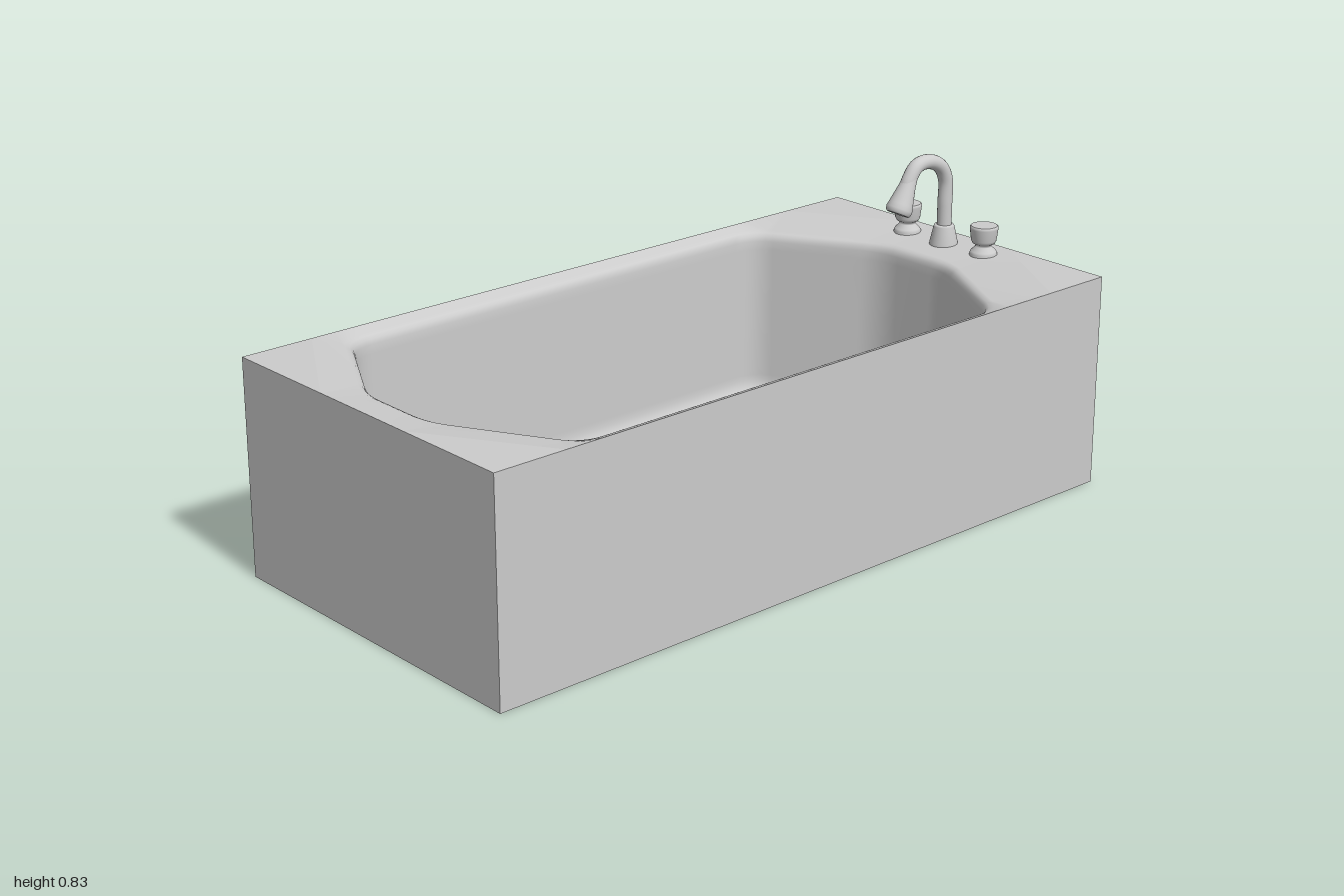
import * as THREE from 'three';

const HEIGHT = 0.575, HALF_W = 0.487, HALF_L = 1;
const CUT_X = 0.16, CUT_Z = 0.8; // where the flat corner pieces meet the border
const mat = new THREE.MeshStandardMaterial({ color: 0xcccccc, roughness: 0.6 });
const thinMat = new THREE.MeshStandardMaterial({ color: 0xcccccc, roughness: 0.6, side: THREE.DoubleSide });

function add(parent, name, geometry, material = mat) {
  const mesh = new THREE.Mesh(geometry, material);
  mesh.name = name;
  parent.add(mesh);
  return mesh;
}

// Rounded octagon; each point also knows its partner on the outer border
function octagon(half) {
  const corners = [...half, ...half.slice().reverse().map(([x, z]) => [-x, z])]
    .map(([x, z]) => new THREE.Vector2(x, z));
  const onSide = (c) => Math.abs(c.x) > 0.3;
  const pts = [];
  corners.forEach((c, i) => {
    const prev = corners[(i + 7) % 8], next = corners[(i + 1) % 8];
    const toward = (other) => c.clone().add(other.clone().sub(c).setLength(0.06));
    const slantAt = onSide(c) === onSide(next) ? 0 : 6; // end of the curve on the slanted edge
    new THREE.QuadraticBezierCurve(toward(prev), c, toward(next)).getPoints(6).forEach((p, k) => {
      const slant = k === slantAt;
      pts.push({
        x: p.x, z: p.y,
        borderX: onSide(c) ? Math.sign(c.x) * HALF_W : (slant ? Math.sign(c.x) * CUT_X : p.x),
        borderZ: onSide(c) ? (slant ? Math.sign(c.y) * CUT_Z : p.y) : Math.sign(c.y) * HALF_L,
      });
    });
  });
  return pts;
}

// Sheet from the outer border through inset octagon rings [inset, height] to a flat middle
function sheet(half, borderY, rings, facesDown) {
  const outline = octagon(half), n = outline.length;
  const halfX = half[1][0], halfZ = (half[3][1] - half[0][1]) / 2, midZ = (half[3][1] + half[0][1]) / 2;
  const pos = [], idx = [];
  const tri = (a, b, c) => (facesDown ? idx.push(a, c, b) : idx.push(a, b, c));
  for (const p of outline) pos.push(p.borderX, borderY, p.borderZ);
  for (const [d, y] of rings) {
    for (const p of outline) pos.push(p.x * (1 - d / halfX), y, midZ + (p.z - midZ) * (1 - d / halfZ));
  }
  for (let r = 0; r < rings.length; r++) {
    for (let i = 0; i < n; i++) {
      const a = r * n + i, b = r * n + (i + 1) % n;
      tri(a, a + n, b);
      tri(b, a + n, b + n);
    }
  }
  const last = rings.length * n, centre = last + n;
  pos.push(0, rings[rings.length - 1][1], midZ);
  for (let i = 0; i < n; i++) tri(last + i, centre, last + (i + 1) % n);
  const g = new THREE.BufferGeometry();
  g.setAttribute('position', new THREE.Float32BufferAttribute(pos, 3));
  g.setIndex(idx);
  g.computeVertexNormals();
  return g;
}

function lathe(points) {
  return new THREE.LatheGeometry(points.map(([r, y]) => new THREE.Vector2(r, y)), 32);
}

export function createModel() {
  const group = new THREE.Group();
  group.name = 'bathtub';

  // Four outer panels: a box without top and bottom
  const panels = new THREE.BoxGeometry(2 * HALF_W, HEIGHT, 2 * HALF_L);
  const faces = Array.from(panels.index.array);
  panels.setIndex([...faces.slice(0, 12), ...faces.slice(24, 36)]);
  panels.clearGroups();
  panels.translate(0, HEIGHT / 2, 0);
  add(group, 'outerPanels', panels, thinMat);

  // Flat triangular corner pieces, top and bottom
  for (const sx of [-1, 1]) {
    for (const sz of [-1, 1]) {
      const corner = new THREE.ShapeGeometry(new THREE.Shape([
        new THREE.Vector2(sx * HALF_W, sz * HALF_L),
        new THREE.Vector2(sx * CUT_X, sz * HALF_L),
        new THREE.Vector2(sx * HALF_W, sz * CUT_Z)]));
      const top = add(group, 'topCorner', corner, thinMat);
      top.rotation.x = -Math.PI / 2;
      top.position.y = HEIGHT;
      add(group, 'bottomCorner', corner, thinMat).rotation.x = Math.PI / 2;
    }
  }

  // Gently dished rim with rounded lip, upright walls, rounded floor edge
  const rings = [[-0.02, 0.564], [-0.01, 0.559], [-0.003, 0.551], [0, 0.538], [0.001, 0.515], [0.005, 0.15], [0.006, 0.135]];
  for (let i = 1; i <= 5; i++) {
    const a = (i / 5) * Math.PI / 2;
    rings.push([0.006 + 0.05 * (1 - Math.cos(a)), 0.135 - 0.05 * Math.sin(a)]);
  }
  rings.push([0.08, 0.085], [0.2, 0.085]);
  add(group, 'rimAndBasin',
    sheet([[0.12, -0.805], [0.438, -0.62], [0.438, 0.715], [0.12, 0.893]], HEIGHT, rings, false), thinMat);

  // Shallowly recessed underside
  add(group, 'underside',
    sheet([[0.12, -0.86], [0.44, -0.67], [0.44, 0.73], [0.12, 0.91]], 0,
      [[0, 0.03], [0.02, 0.037], [0.05, 0.04], [0.15, 0.04]], true), thinMat);

  // Tap handles
  for (const side of [-1, 1]) {
    const handle = add(group, side > 0 ? 'leftHandle' : 'rightHandle', lathe([
      [0.038, -0.015], [0.037, 0], [0.034, 0.006], [0.022, 0.018], [0.021, 0.023], [0.03, 0.028],
      [0.034, 0.036], [0.038, 0.068], [0.038, 0.073], [0.035, 0.076], [0.035, 0.076], [0, 0.076]]));
    handle.position.set(side * 0.14, HEIGHT, -0.925);
  }

  // Spout: flared foot, bent pipe and flared head
  const spout = new THREE.Group();
  spout.name = 'spout';
  group.add(spout);
  const foot = add(spout, 'spoutFoot', lathe([
    [0.039, -0.015], [0.038, 0], [0.028, 0.044], [0.026, 0.048], [0.019, 0.049]]));
  foot.position.set(0, HEIGHT, -0.92);

  const path = new THREE.CatmullRomCurve3([
    [0.6, -0.92], [0.68, -0.92], [0.75, -0.919], [0.79, -0.896], [0.811, -0.85],
    [0.806, -0.805], [0.775, -0.778], [0.74, -0.762],
  ].map(([y, z]) => new THREE.Vector3(0, y, z)));
  add(spout, 'spoutPipe', new THREE.TubeGeometry(path, 48, 0.02, 20));

  const from = new THREE.Vector3(0, 0.785, -0.785), to = new THREE.Vector3(0, 0.688, -0.737);
  const dir = to.clone().sub(from), len = dir.length();
  const head = add(spout, 'spoutHead', lathe([
    [0.019, 0], [0.022, len * 0.25], [0.033, len * 0.75], [0.036, len * 0.87],
    [0.034, len * 0.96], [0.03, len], [0.03, len], [0, len]]));
  head.position.copy(from);
  head.quaternion.setFromUnitVectors(new THREE.Vector3(0, 1, 0), dir.normalize());

  return group;
}
